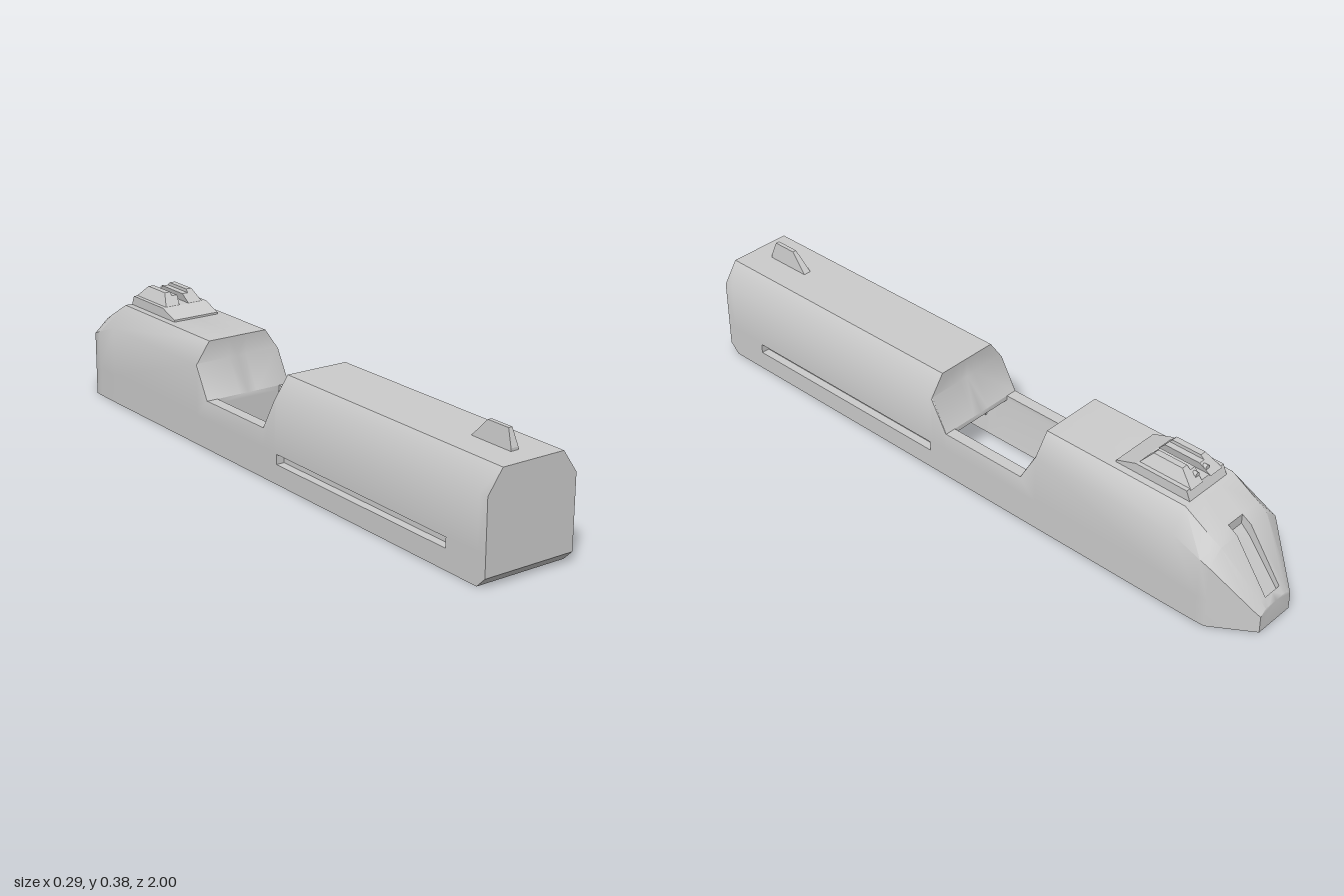
import * as THREE from 'three';
import { toCreasedNormals } from 'three/addons/utils/BufferGeometryUtils.js';

const material = new THREE.MeshStandardMaterial({ color: 0xcccccc, side: THREE.DoubleSide });

function addMesh(parent, name, geometry) {
  const mesh = new THREE.Mesh(geometry, material);
  mesh.name = name;
  parent.add(mesh);
  return mesh;
}

// Half cross-section (x >= 0), from the centre top, round the outside, to the cavity ceiling
function section(z, o = {}) {
  const { top = 0.312, topX = 0.1, shoulder = 0.246, side = 0.146, bottom = 0,
    ceiling = bottom, open = 0, groove = 0, slot = 0 } = o;
  const hollow = ceiling > bottom;
  const lip = Math.min(0.092, side * 0.6);
  const slotX = open || Math.min(0.03, topX * 0.7);
  const g1 = Math.min(0.09, shoulder * 0.9), g0 = Math.min(0.06, shoulder * 0.6);
  return [
    [open, top - slot], [slotX, top - slot], [slotX, top], [topX, top], [side, shoulder],
    [side, g1], [side - groove, g1], [side - groove, g0], [side, g0],
    [side, bottom], [lip, bottom], [hollow ? 0.11 : lip, ceiling], [open, ceiling],
  ].map(([x, y]) => new THREE.Vector3(x, y, z));
}

// Loft the half-sections, cap both ends and mirror across x = 0
function loftMirrored(rings) {
  const positions = [];
  const n = rings[0].length;
  const tri = (a, b, c) => {
    const area = b.clone().sub(a).cross(c.clone().sub(a)).length();
    if (area < 1e-7) return;
    for (const p of [a, b, c]) positions.push(p.x, p.y, p.z);
    for (const p of [a, c, b]) positions.push(-p.x, p.y, p.z);
  };
  for (let i = 0; i < rings.length - 1; i++) {
    const r = rings[i], s = rings[i + 1];
    for (let j = 0; j < n; j++) {
      const k = (j + 1) % n;
      // no wall on the centre plane where the body is unbroken
      if (k === 0 && r[0].x === 0 && s[0].x === 0) continue;
      tri(r[j], r[k], s[k]);
      tri(r[j], s[k], s[j]);
    }
  }
  const first = rings[0], last = rings[rings.length - 1];
  for (let j = 1; j < n - 1; j++) {
    tri(first[0], first[j + 1], first[j]);
    tri(last[0], last[j], last[j + 1]);
  }
  const geometry = new THREE.BufferGeometry();
  geometry.setAttribute('position', new THREE.Float32BufferAttribute(positions, 3));
  return toCreasedNormals(geometry, 0.65);
}

// Extrude a (z, y) profile across x
function sideExtrude(profile, width) {
  const shape = new THREE.Shape(profile.map(([z, y]) => new THREE.Vector2(z, y)));
  const geometry = new THREE.ExtrudeGeometry(shape, { depth: width, bevelEnabled: false });
  return geometry.translate(0, 0, -width / 2).rotateY(-Math.PI / 2);
}

// Move each vertex of a geometry by a rule
function reshape(geometry, rule) {
  const p = geometry.attributes.position;
  const v = new THREE.Vector3();
  for (let i = 0; i < p.count; i++) {
    rule(v.fromBufferAttribute(p, i));
    p.setXYZ(i, v.x, v.y, v.z);
  }
  geometry.computeVertexNormals();
  return geometry;
}

export function createModel() {
  const model = new THREE.Group();
  model.name = 'slideAssembly';

  // Main body: hollow front, open window in the middle, solid tapered back
  const hollow = { ceiling: 0.2 };
  const grooved = { ceiling: 0.2, groove: 0.026 };
  const step = { top: 0.25, topX: 0.143 };
  const sill = { top: 0.15, topX: 0.1455, shoulder: 0.149, ceiling: 0.135 };
  const window = { ...sill, open: 0.11 };
  addMesh(model, 'body', loftMirrored([
    section(1, { bottom: 0.03 }),
    section(0.97),
    section(0.94),
    section(0.94, hollow),
    section(0.85, hollow),
    section(0.85, grooved),
    section(0.12, grooved),
    section(0.12, hollow),
    section(0.11, hollow),
    section(0.11, { ...step, ...hollow }),
    section(0.055, sill),
    section(0.055, window),
    section(-0.23, window),
    section(-0.23, sill),
    section(-0.23, { ...sill, ceiling: 0 }),
    section(-0.285, step),
    section(-0.285),
    section(-0.76),
    section(-0.85, { top: 0.258, shoulder: 0.212, side: 0.145 }),
    section(-0.85, { top: 0.258, shoulder: 0.212, side: 0.145, slot: 0.03 }),
    section(-0.88, { top: 0.24, topX: 0.098, shoulder: 0.2, side: 0.143, slot: 0.04 }),
    section(-0.985, { top: 0.091, topX: 0.05, shoulder: 0.07, side: 0.075, slot: 0.025 }),
    section(-0.985, { top: 0.091, topX: 0.05, shoulder: 0.07, side: 0.075 }),
    section(-1, { top: 0.07, topX: 0.045, shoulder: 0.053, side: 0.065 }),
  ]));

  // Back of each side groove, standing proud inside the cavity
  for (const side of [1, -1]) {
    const ridge = addMesh(model, side > 0 ? 'leftInnerRidge' : 'rightInnerRidge',
      new THREE.BoxGeometry(0.025, 0.03, 0.73));
    ridge.position.set(side * 0.1, 0.075, 0.485);
  }

  // Front sight, narrowing upward
  addMesh(model, 'frontSight', reshape(
    sideExtrude([[0.93, 0.305], [0.93, 0.32], [0.912, 0.368], [0.835, 0.368], [0.775, 0.305]], 0.026),
    (v) => { v.x *= 1 - 0.52 * Math.max(0, (v.y - 0.312) / 0.056); }));

  // Rear sight: sloped base, two blades and a pair of small dots
  const rearSight = new THREE.Group();
  rearSight.name = 'rearSight';
  model.add(rearSight);
  addMesh(rearSight, 'rearSightBase', sideExtrude(
    [[-0.51, 0.305], [-0.51, 0.318], [-0.575, 0.341], [-0.745, 0.341], [-0.76, 0.305]], 0.156));

  const blade = [[0.066, 0.338], [0.048, 0.377], [0.029, 0.377], [0.029, 0.367], [0.01, 0.367], [0.017, 0.338]];
  for (const side of [1, -1]) {
    const label = side > 0 ? 'left' : 'right';
    const shape = new THREE.Shape(blade.map(([x, y]) => new THREE.Vector2(side * x, y)));
    const geometry = new THREE.ExtrudeGeometry(shape, { depth: 1, bevelEnabled: false });
    addMesh(rearSight, label + 'Blade', reshape(geometry, (v) => {
      const t = (v.y - 0.338) / 0.039;
      v.z = v.z > 0.5 ? -0.575 - 0.035 * t : -0.75 + 0.045 * t;
    }));
    const dot = addMesh(rearSight, label + 'Dot', new THREE.CylinderGeometry(0.008, 0.008, 0.02, 12));
    dot.rotation.x = Math.PI / 2;
    dot.position.set(side * 0.021, 0.355, -0.725);
  }

  return model;
}
